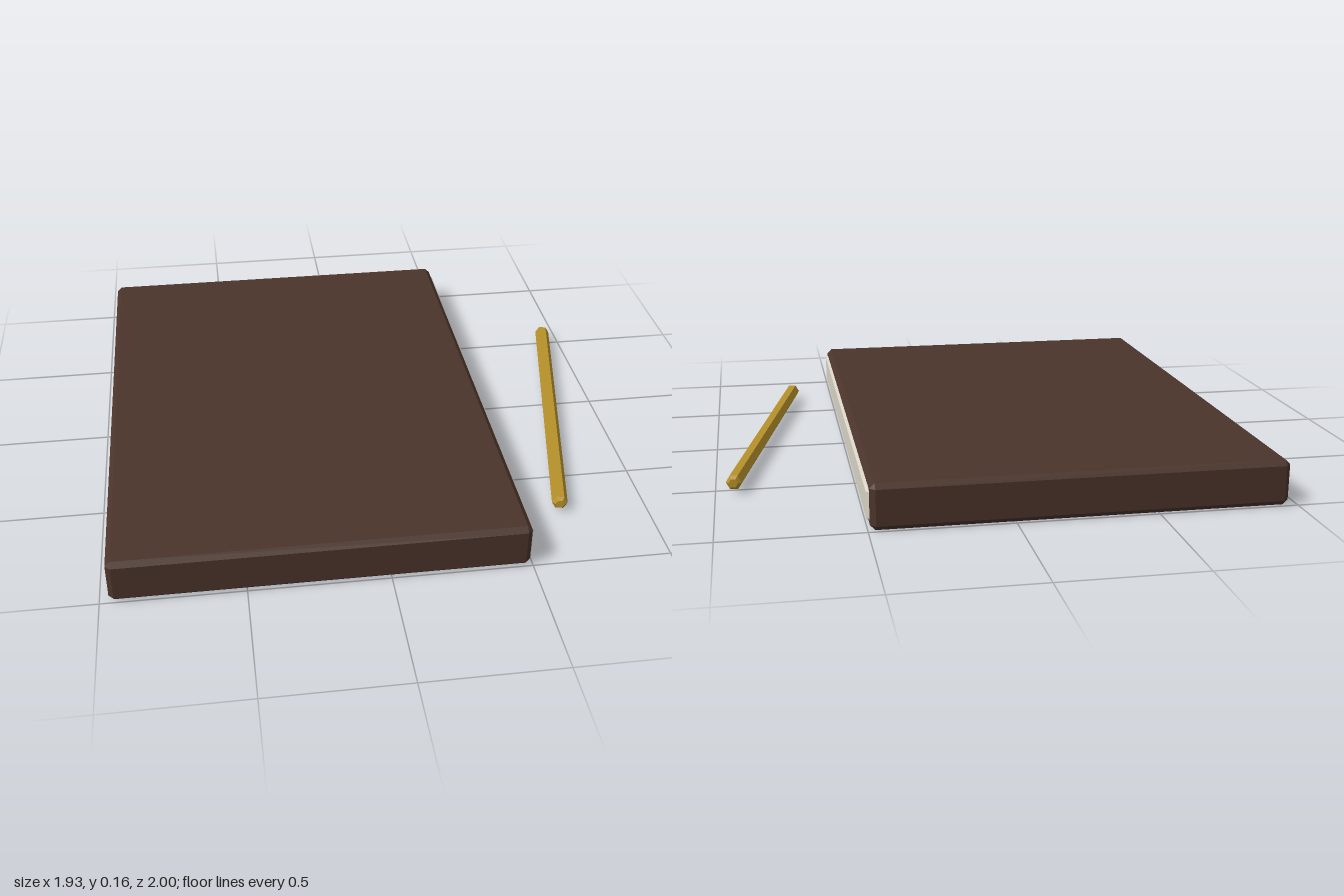
import * as THREE from 'three';
import { ConvexGeometry } from 'three/addons/geometries/ConvexGeometry.js';

const paint = (color) => new THREE.MeshStandardMaterial({ color, flatShading: true });

// Box with every edge cut by a single chamfer c
function chamferBox(w, h, d, c) {
  const points = [];
  for (const x of [-1, 1]) for (const y of [-1, 1]) for (const z of [-1, 1]) {
    const X = x * w / 2, Y = y * h / 2, Z = z * d / 2;
    points.push(
      new THREE.Vector3(X, Y - y * c, Z - z * c),
      new THREE.Vector3(X - x * c, Y, Z - z * c),
      new THREE.Vector3(X - x * c, Y - y * c, Z));
  }
  return new ConvexGeometry(points);
}

export function createModel() {
  const model = new THREE.Group();
  model.name = 'bookAndPen';

  const add = (name, geometry, color, x, y, z) => {
    const mesh = new THREE.Mesh(geometry, paint(color));
    mesh.name = name;
    mesh.position.set(x, y, z);
    model.add(mesh);
    return mesh;
  };

  // Closed book: cover block, and page block showing along the opening edge
  add('cover', chamferBox(1.46, 0.164, 2, 0.018), 0x4a342a, -0.238, 0.082, 0);
  add('pages', chamferBox(1.4, 0.13, 1.95, 0.018), 0xd8d3c5, -0.198, 0.082, 0);

  // Six-sided pen with bevelled ends, lying flat beside the book
  const r = 0.029, half = 0.646, bevel = 0.012;
  const profile = [
    [0, -half], [r - bevel, -half], [r, -half + bevel],
    [r, half - bevel], [r - bevel, half], [0, half],
  ].map(([a, b]) => new THREE.Vector2(a, b));
  const penGeometry = new THREE.LatheGeometry(profile, 6)
    .rotateY(Math.PI / 2)
    .rotateX(Math.PI / 2);
  const pen = add('pen', penGeometry, 0xb8922a, 0.803, 0.04, 0.09);
  pen.rotation.y = -0.207;

  return model;
}
